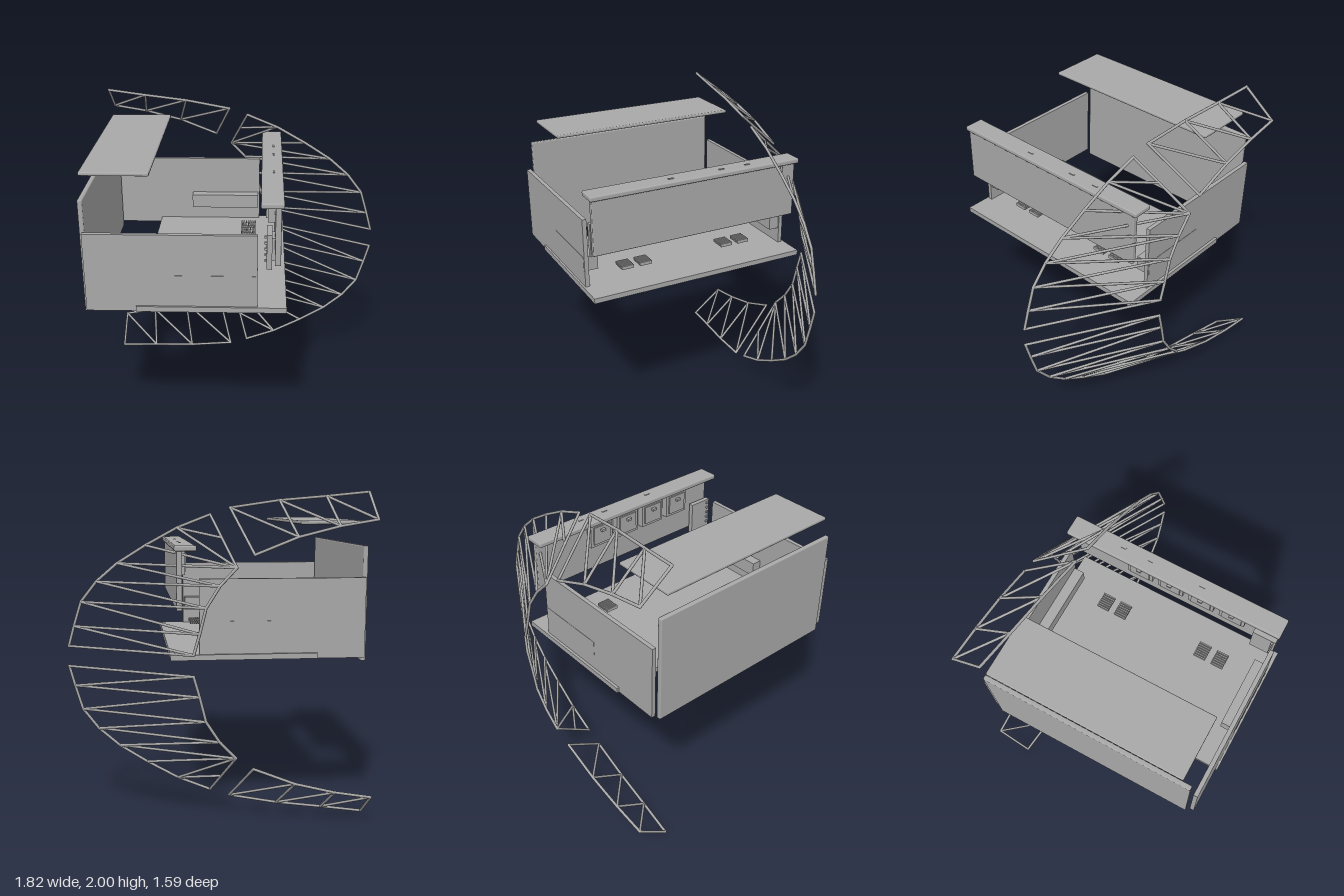
import * as THREE from 'three';
import { RoundedBoxGeometry } from 'three/addons/geometries/RoundedBoxGeometry.js';

export function createModel() {
  const model = new THREE.Group();
  const grey = new THREE.MeshStandardMaterial({ color: 0xa8a8a8 });
  grey.name = 'plain grey';

  // Box given by its extents; a radius rounds the edges
  function box(name, x0, x1, y0, y1, z0, z1, radius = 0, parent = model) {
    const size = [x1 - x0, y1 - y0, z1 - z0];
    const geo = radius ? new RoundedBoxGeometry(...size, 2, radius) : new THREE.BoxGeometry(...size);
    const mesh = new THREE.Mesh(geo, grey);
    mesh.name = name;
    mesh.position.set((x0 + x1) / 2, (y0 + y1) / 2, (z0 + z1) / 2);
    parent.add(mesh);
    return mesh;
  }

  // Round bar between two points
  const up = new THREE.Vector3(0, 1, 0);
  function rod(name, a, b, r, parent) {
    const dir = b.clone().sub(a);
    const mesh = new THREE.Mesh(new THREE.CylinderGeometry(r, r, dir.length(), 8), grey);
    mesh.name = name;
    mesh.position.copy(a).add(b).multiplyScalar(0.5);
    mesh.quaternion.setFromUnitVectors(up, dir.normalize());
    parent.add(mesh);
  }

  // Enclosure panels
  box('floorPlate', -0.58, 0.295, 1.012, 1.045, -0.665, 0.795);
  box('frontPanel', -0.87, 0.125, 1.01, 1.49, 0.755, 0.782);
  box('backPanel', -0.87, 0.125, 1.01, 1.49, -0.648, -0.622);
  box('sidePanel', -0.89, -0.86, 0.98, 1.675, -0.605, 0.735, 0.008);
  box('lid', -0.885, -0.487, 1.8, 1.822, -0.56, 0.685, 0.008);

  // Housings set into the front and back panels
  box('frontHousing', -0.35, 0.115, 1.147, 1.24, 0.69, 0.784);
  box('backHousing', -0.35, 0.115, 1.147, 1.24, -0.65, -0.555);

  // Raised door with its cap and the small tabs on top
  box('doorCap', 0.14, 0.272, 1.65, 1.683, -0.655, 0.782, 0.01);
  box('doorPanel', 0.222, 0.257, 1.3, 1.655, -0.63, 0.77, 0.006);
  for (const z of [-0.297, -0.112, 0.238]) {
    box('capTab', 0.21, 0.222, 1.68, 1.687, z - 0.018, z + 0.018);
  }

  // Equipment on the inner face of the door
  const equipment = new THREE.Group();
  equipment.name = 'doorEquipment';
  model.add(equipment);
  for (let i = 0; i < 4; i++) {
    const z = -0.25 + i * 0.21;
    box('equipmentBox', 0.18, 0.225, 1.48, 1.64, z, z + 0.17, 0, equipment);
    box('equipmentCover', 0.17, 0.182, 1.5, 1.62, z + 0.02, z + 0.15, 0, equipment);
    box('equipmentLatch', 0.152, 0.172, 1.585, 1.6, z + 0.07, z + 0.1, 0, equipment);
  }
  box('endBracket', 0.175, 0.206, 1.278, 1.49, 0.615, 0.768, 0, equipment);
  box('endBracketArm', 0.2, 0.225, 1.32, 1.46, 0.64, 0.74, 0, equipment);
  for (let i = 0; i < 5; i++) {
    const y = 1.32 + i * 0.036;
    box('bracketBolt', 0.162, 0.178, y, y + 0.012, 0.74, 0.755, 0, equipment);
  }

  // Slatted vents above the floor
  for (const zc of [-0.355, -0.23, 0.36, 0.485]) {
    const vent = new THREE.Group();
    vent.name = 'vent';
    model.add(vent);
    box('ventBase', 0.003, 0.102, 1.09, 1.098, zc - 0.04, zc + 0.04, 0, vent);
    for (let i = 0; i < 7; i++) {
      const x = 0.003 + i * 0.015;
      box('ventSlat', x, x + 0.009, 1.095, 1.112, zc - 0.042, zc + 0.042, 0, vent);
    }
  }

  // Curved truss arm, lower half (nodes as x, y, z)
  const v = (x, y, z) => new THREE.Vector3(x, y, z);
  const onOuter = (x, y) => v(x, y, -0.433 + (x - 0.04) * 0.066);
  const onInner = (x, y) => v(x, y, -0.777 - x * 0.08);
  const inner = [[0.17, 0.94], [0.135, 0.818], [0.098, 0.67], [0.018, 0.545], [-0.08, 0.442]].map((p) => onInner(...p));
  const outer = [[0.9, 0.94], [0.867, 0.818], [0.822, 0.67], [0.727, 0.547], [0.6, 0.437],
    [0.43, 0.33], [0.24, 0.225], [0.04, 0.146]].map((p) => onOuter(...p));
  const endPoint = inner[4].clone().lerp(outer[7], 0.55);

  // Straight end truss, lower half
  const tipInner = [[-0.9, 0.172], [-0.68, 0.209], [-0.437, 0.27], [-0.185, 0.37]].map(([x, y]) => v(x, y, -0.76));
  const tipOuter = [[-0.9, 0.013], [-0.65, 0.038], [-0.373, 0.062], [-0.08, 0.106]]
    .map(([x, y]) => v(x, y, -0.55 + (x + 0.9) * 0.134));

  function chord(points, parent) {
    for (let i = 1; i < points.length; i++) rod('trussChord', points[i - 1], points[i], 0.009, parent);
    for (const p of points) {
      const joint = new THREE.Mesh(new THREE.SphereGeometry(0.009, 8, 6), grey);
      joint.name = 'trussJoint';
      joint.position.copy(p);
      parent.add(joint);
    }
  }

  // The upper arm mirrors the lower one about y = 1.002
  for (const upper of [false, true]) {
    const place = (p) => (upper ? v(p.x, 2.004 - p.y, p.z) : p);
    const [a, b, c, d] = [inner, outer, tipInner, tipOuter].map((list) => list.map(place));
    const arm = new THREE.Group();
    arm.name = upper ? 'upperCurvedTruss' : 'lowerCurvedTruss';
    chord(a, arm);
    chord(b, arm);
    const brace = (p, q, parent) => rod('trussBrace', p, q, 0.0085, parent);
    for (let i = 0; i < 5; i++) {
      brace(a[i], b[i], arm);
      if (i < 4) brace(a[i], b[i + 1], arm);
    }
    brace(a[4], b[5], arm);
    brace(a[4], b[6], arm);
    brace(a[4], b[7], arm);
    brace(place(endPoint), b[6], arm);
    model.add(arm);

    const tip = new THREE.Group();
    tip.name = upper ? 'upperEndTruss' : 'lowerEndTruss';
    chord(c, tip);
    chord(d, tip);
    brace(c[0], d[0], tip);
    brace(c[3], d[3], tip);
    for (let i = 0; i < 3; i++) {
      brace(c[i], d[i + 1], tip);
      if (i > 0) brace(c[i], d[i], tip);
    }
    model.add(tip);
  }
  return model;
}
